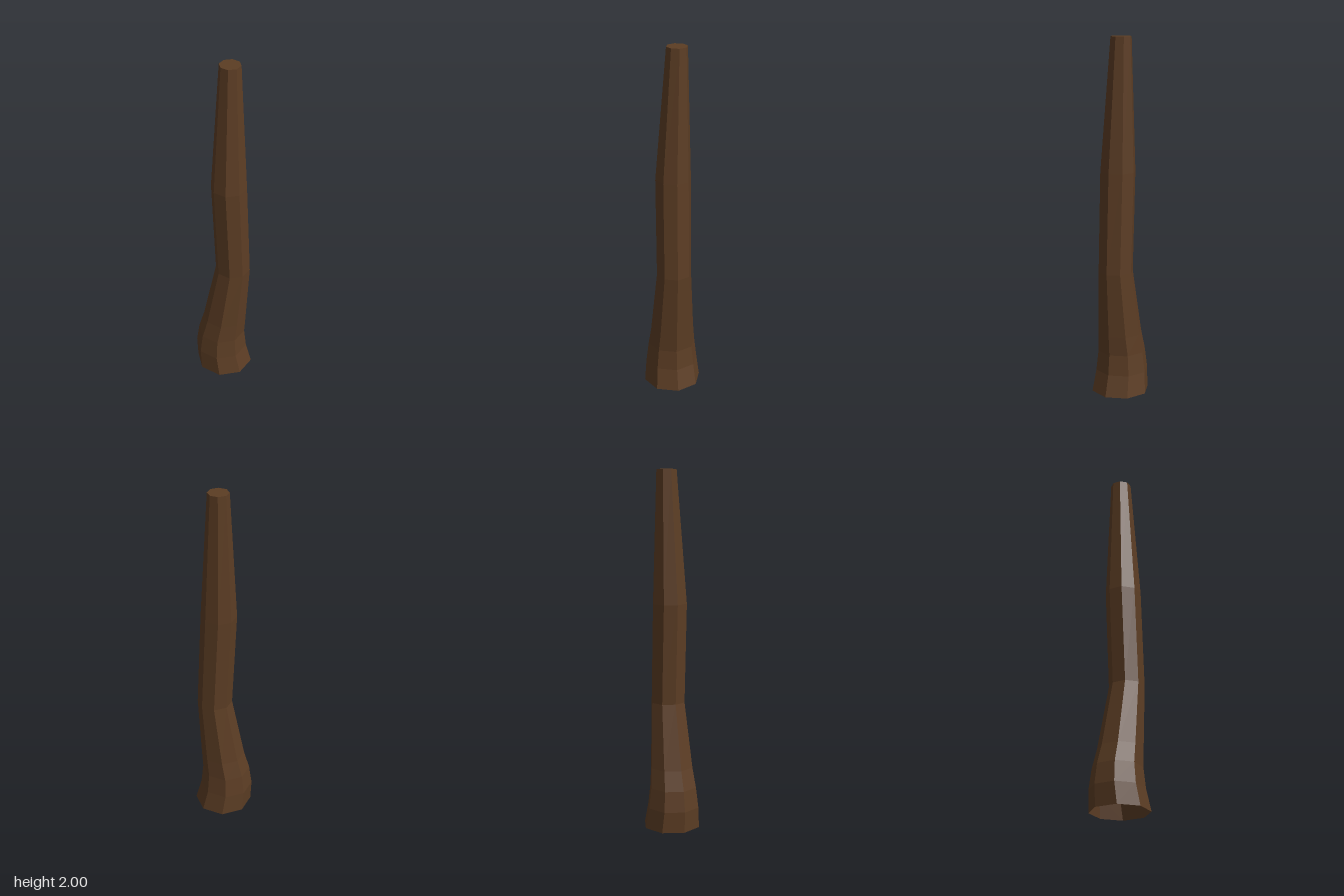
import * as THREE from 'three';

// Trunk rings from bottom to top: height, centre x, centre z, radius
const RINGS = [
  [0, 0.002, 0, 0.163],
  [0.12, -0.017, 0, 0.15],
  [0.235, -0.015, 0, 0.136],
  [0.345, 0.004, 0, 0.124],
  [0.71, 0.05, 0, 0.098],
  [1.27, 0.026, 0, 0.099],
  [2, 0.026, -0.02, 0.058],
];
const SIDES = 8;

export function createModel() {
  const group = new THREE.Group();
  group.name = 'trunk';
  const bark = new THREE.MeshStandardMaterial({
    name: 'bark brown', color: 0x5c3d24, flatShading: true, side: THREE.DoubleSide,
  });

  // Bent, tapering eight-sided shell, open at the bottom
  const last = RINGS.length - 1;
  const shell = new THREE.CylinderGeometry(1, 1, last, SIDES, last, true);
  const pos = shell.attributes.position;
  for (let i = 0; i < pos.count; i++) {
    const [y, cx, cz, r] = RINGS[Math.round(pos.getY(i) + last / 2)];
    pos.setXYZ(i, cx + pos.getX(i) * r, y, cz + pos.getZ(i) * r);
  }
  shell.computeVertexNormals();
  const stem = new THREE.Mesh(shell, bark);
  stem.name = 'stem';

  // Flat cut closing the top
  const [topY, topX, topZ, topR] = RINGS[last];
  const cut = new THREE.Mesh(new THREE.CircleGeometry(topR, SIDES).rotateX(-Math.PI / 2), bark);
  cut.name = 'topCut';
  cut.position.set(topX, topY, topZ);

  group.add(stem, cut);
  return group;
}
